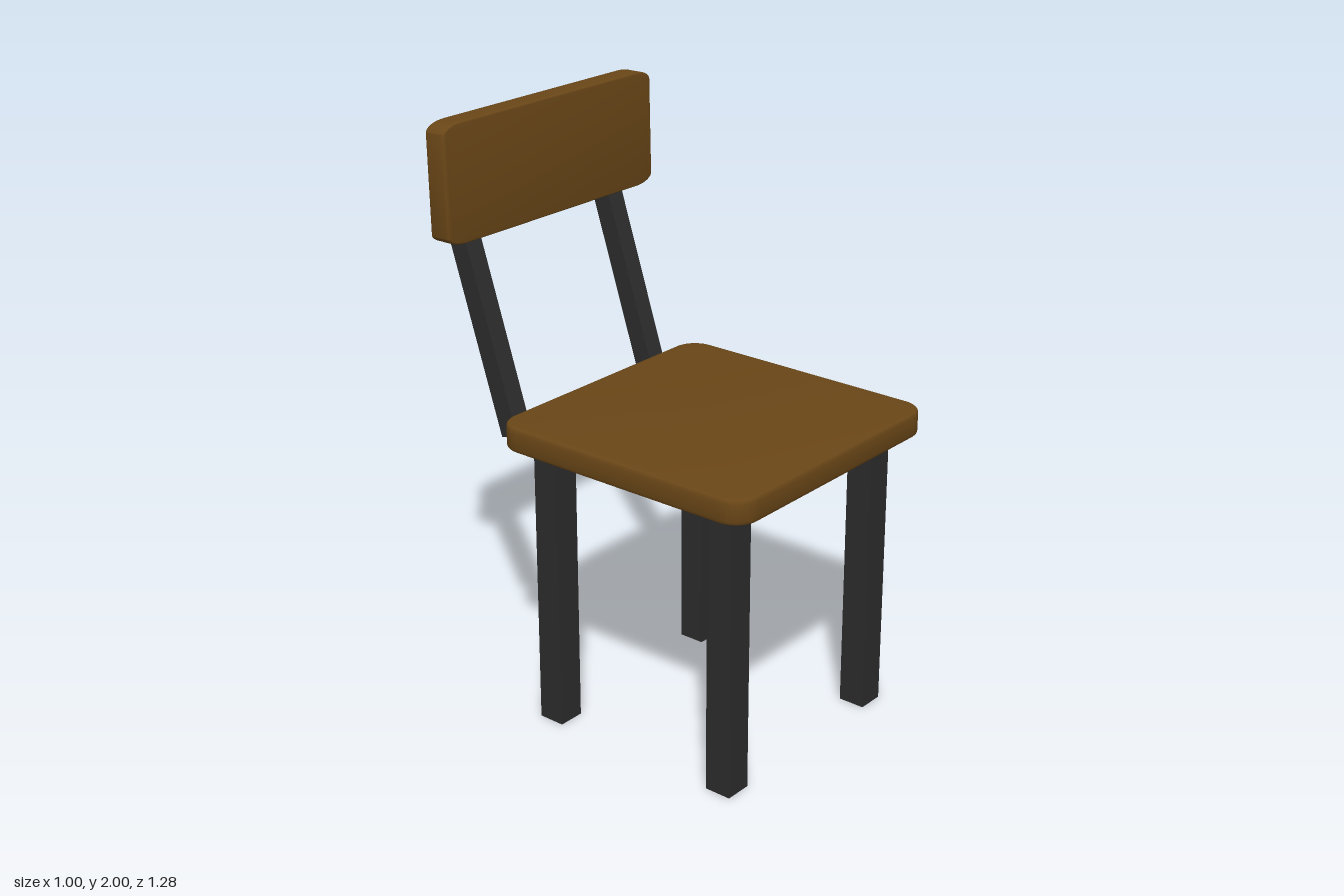
import * as THREE from 'three';
import { toCreasedNormals } from 'three/addons/utils/BufferGeometryUtils.js';

const wood = new THREE.MeshStandardMaterial({ color: 0x694617 });
const metal = new THREE.MeshStandardMaterial({ color: 0x2b2b2b });

// Square slab with rounded corners and softened edges, facing +z, centred on the origin
function slabGeometry(size, thickness, radius, bevel) {
  const h = size / 2 - bevel;
  const r = radius - bevel;
  const shape = new THREE.Shape();
  shape.absarc(h - r, h - r, r, 0, Math.PI / 2);
  shape.absarc(r - h, h - r, r, Math.PI / 2, Math.PI);
  shape.absarc(r - h, r - h, r, Math.PI, Math.PI * 1.5);
  shape.absarc(h - r, r - h, r, Math.PI * 1.5, Math.PI * 2);
  const geometry = new THREE.ExtrudeGeometry(shape, {
    depth: thickness - 2 * bevel,
    bevelThickness: bevel,
    bevelSize: bevel,
    bevelSegments: 3,
    curveSegments: 8,
  });
  geometry.center();
  return geometry;
}

export function createModel() {
  const chair = new THREE.Group();
  chair.name = 'chair';

  function add(name, geometry, material, x, y, z, tilt = 0) {
    const mesh = new THREE.Mesh(geometry, material);
    mesh.name = name;
    mesh.position.set(x, y, z);
    mesh.rotation.x = tilt;
    chair.add(mesh);
  }

  // Seat
  const seat = slabGeometry(0.995, 0.085, 0.085, 0.012).rotateX(-Math.PI / 2);
  add('seat', toCreasedNormals(seat, 0.6), wood, 0, 1.018, 0.143);

  // Backrest: the same slab squashed in height, leaning back a touch
  const back = slabGeometry(0.995, 0.082, 0.085, 0.012).scale(1, 0.398, 1);
  add('backrest', toCreasedNormals(back, 0.6), wood, 0, 1.801, -0.575, -0.018);

  // Legs
  const leg = new THREE.BoxGeometry(0.094, 0.98, 0.094);
  add('frontRightLeg', leg, metal, -0.394, 0.49, 0.518);
  add('frontLeftLeg', leg, metal, 0.339, 0.49, 0.518);
  add('backRightLeg', leg, metal, -0.394, 0.49, -0.194);
  add('backLeftLeg', leg, metal, 0.35, 0.49, -0.194);

  // Slanted posts carrying the backrest
  const post = new THREE.BoxGeometry(0.07, 0.684, 0.07);
  add('rightBackPost', post, metal, -0.355, 1.29, -0.503, -0.312);
  add('leftBackPost', post, metal, 0.337, 1.29, -0.503, -0.312);

  return chair;
}
